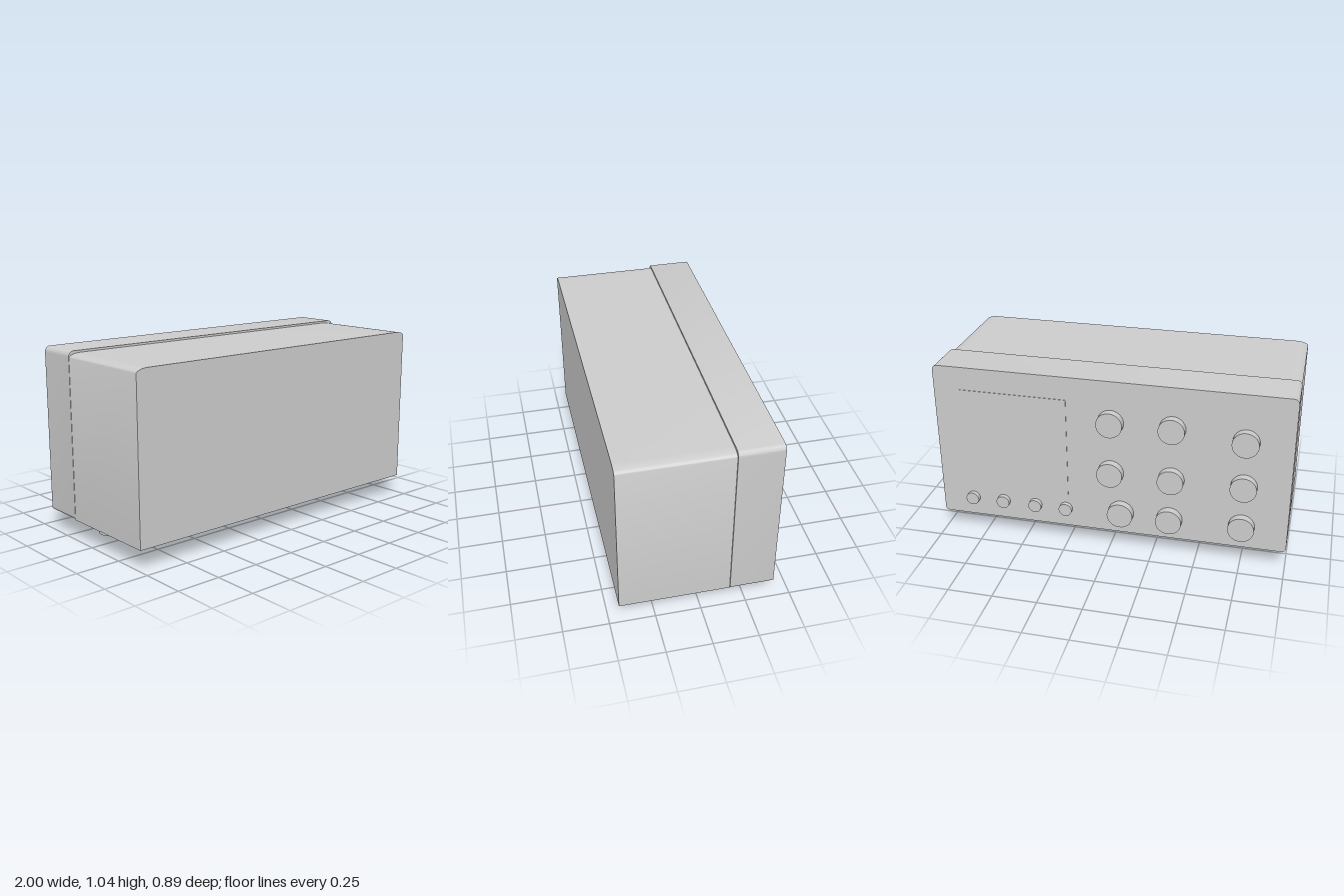
import * as THREE from 'three';
import { toCreasedNormals } from 'three/addons/utils/BufferGeometryUtils.js';

const material = new THREE.MeshStandardMaterial({ color: 0xcccccc });

// Cross-section with elliptical corners (rx, ryTop / ryBottom), extruded from z0 to z1
function shell(name, x0, x1, y0, y1, z0, z1, rx, ryTop, ryBottom) {
  const s = new THREE.Shape();
  const rb = ryBottom > 0 ? rx : 0;
  s.moveTo(x0 + rb, y0);
  s.lineTo(x1 - rb, y0);
  if (rb) s.absellipse(x1 - rx, y0 + ryBottom, rx, ryBottom, -Math.PI / 2, 0, false, 0);
  s.lineTo(x1, y1 - ryTop);
  s.absellipse(x1 - rx, y1 - ryTop, rx, ryTop, 0, Math.PI / 2, false, 0);
  s.lineTo(x0 + rx, y1);
  s.absellipse(x0 + rx, y1 - ryTop, rx, ryTop, Math.PI / 2, Math.PI, false, 0);
  s.lineTo(x0, y0 + ryBottom);
  if (rb) s.absellipse(x0 + rx, y0 + ryBottom, rx, ryBottom, Math.PI, Math.PI * 1.5, false, 0);
  const g = new THREE.ExtrudeGeometry(s, { depth: z1 - z0, bevelEnabled: false, curveSegments: 8 });
  g.translate(0, 0, z0);
  const mesh = new THREE.Mesh(toCreasedNormals(g, 0.6), material);
  mesh.name = name;
  return mesh;
}

const PANEL_Z = -0.4;

// Round control standing out of the rear-facing panel
function knob(name, x, y, radius, depth) {
  const g = new THREE.CylinderGeometry(radius, radius, depth, 28);
  g.rotateX(Math.PI / 2);
  const mesh = new THREE.Mesh(g, material);
  mesh.position.set(x, y, PANEL_Z - depth / 2);
  mesh.name = name;
  return mesh;
}

export function createModel() {
  const model = new THREE.Group();
  model.name = 'instrumentCase';

  // Main housing with softly rounded top edges, and the larger control-panel frame
  model.add(shell('housing', -0.998, 0.992, 0.113, 1.028, -0.16, 0.445, 0.07, 0.025, 0));
  model.add(shell('panelFrame', -1, 1, 0.11, 1.04, PANEL_Z, -0.158, 0.03, 0.03, 0.02));

  // Thin raised screen plate
  const screen = new THREE.Mesh(new THREE.BoxGeometry(0.61, 0.59, 0.006), material);
  screen.position.set(0.545, 0.611, PANEL_Z);
  screen.name = 'screen';
  model.add(screen);

  // Large control knobs
  const knobs = [
    [-0.01, 0.8], [-0.35, 0.8], [-0.745, 0.767],
    [-0.01, 0.492], [-0.35, 0.49], [-0.748, 0.497],
    [-0.068, 0.24], [-0.345, 0.235], [-0.748, 0.245],
  ];
  for (const [x, y] of knobs) model.add(knob('controlKnob', x, y, 0.073, 0.045));

  // Small buttons below the screen
  for (const x of [0.255, 0.437, 0.63, 0.815]) model.add(knob('button', x, 0.223, 0.038, 0.026));

  // Pair of feet
  for (const side of [-1, 1]) {
    const foot = new THREE.Mesh(new THREE.CylinderGeometry(0.067, 0.067, 0.116, 28), material);
    foot.position.set(side * 0.786, 0.058, -0.138);
    foot.name = side > 0 ? 'leftFoot' : 'rightFoot';
    model.add(foot);
  }
  return model;
}
